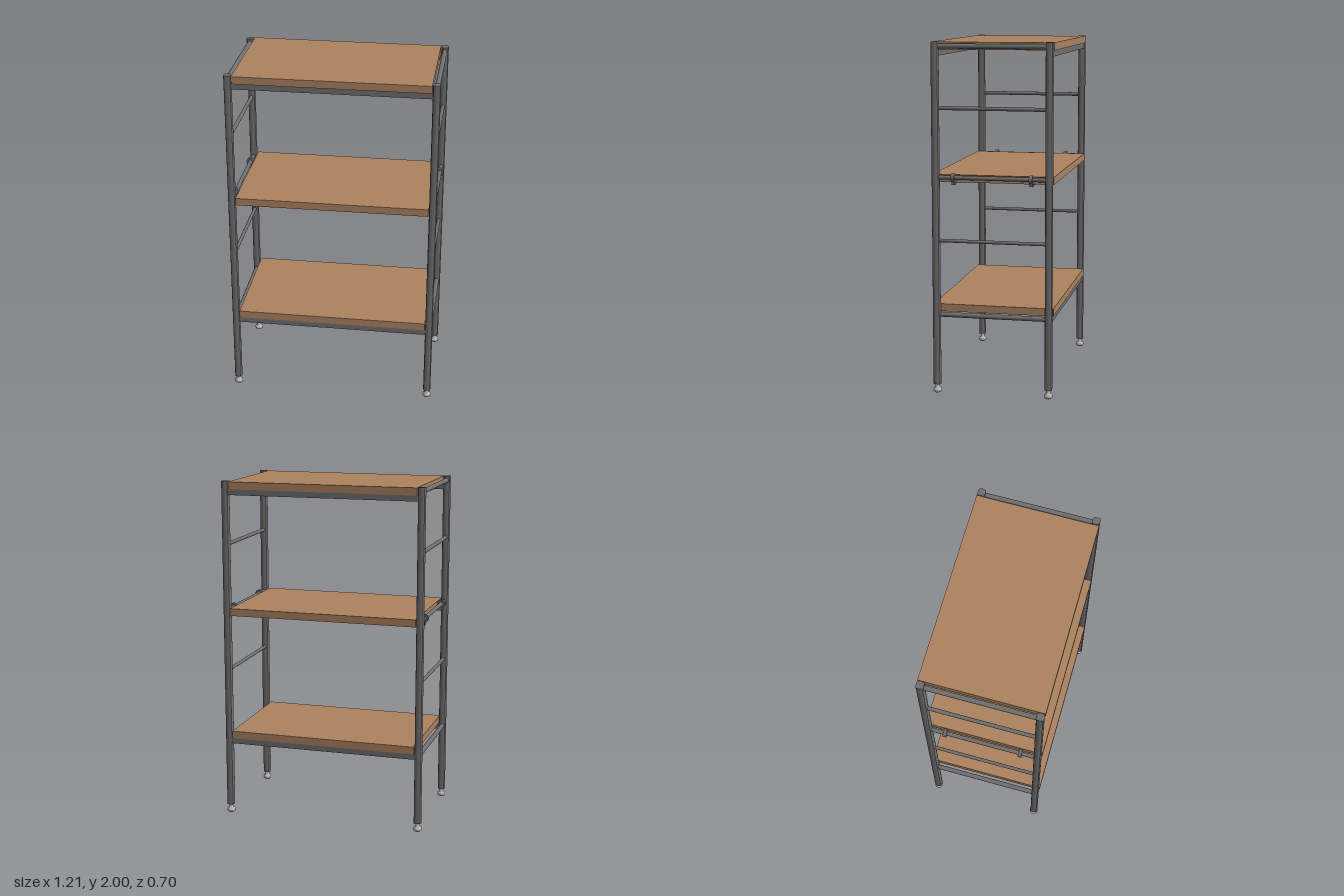
import * as THREE from 'three';

export function createModel() {
  const model = new THREE.Group();
  model.name = 'shelvingUnit';

  const steel = new THREE.MeshStandardMaterial({ name: 'greySteel', color: 0x707070 });
  const wood = new THREE.MeshStandardMaterial({ name: 'brownWood', color: 0xad8361 });
  const metal = new THREE.MeshStandardMaterial({ name: 'paleMetal', color: 0xb8b8b6 });

  const PX = 0.579, PZ = 0.323; // post centres
  const add = (name, geometry, material, x, y, z) => {
    const mesh = new THREE.Mesh(geometry, material);
    mesh.name = name;
    mesh.position.set(x, y, z);
    model.add(mesh);
    return mesh;
  };
  const zRod = (r, length) => new THREE.CylinderGeometry(r, r, length, 20).rotateX(Math.PI / 2);

  // Post section: a square with gently bulging sides
  const c = 0.018, b = 0.0255;
  const section = new THREE.Shape();
  section.moveTo(-c, -c);
  section.quadraticCurveTo(0, -b, c, -c);
  section.quadraticCurveTo(b, 0, c, c);
  section.quadraticCurveTo(0, b, -c, c);
  section.quadraticCurveTo(-b, 0, -c, -c);
  const postGeometry = new THREE.ExtrudeGeometry(section, { depth: 1.95, bevelEnabled: false, curveSegments: 6 });
  postGeometry.rotateX(-Math.PI / 2);

  // Levelling foot: rounded pad below a narrow stem
  const footGeometry = new THREE.LatheGeometry([
    [0, 0.004], [0.016, 0.004], [0.023, 0.011], [0.025, 0.019], [0.022, 0.028], [0.012, 0.034], [0.012, 0.052],
  ].map(([x, y]) => new THREE.Vector2(x, y - 0.004)), 24);

  for (const sx of [-1, 1]) {
    for (const sz of [-1, 1]) {
      add('post', postGeometry, steel, sx * PX, 0.05, sz * PZ);
      add('foot', footGeometry, metal, sx * PX, 0, sz * PZ);
    }
  }

  // Ladder rungs on both ends: [height, radius]
  const rungs = [[0.458, 0.014], [0.885, 0.010], [1.245, 0.012], [1.633, 0.011], [1.975, 0.014]];
  for (const [y, r] of rungs) {
    const geometry = zRod(r, 2 * PZ - 0.036);
    for (const sx of [-1, 1]) add('sideRung', geometry, steel, sx * PX, y, 0);
  }

  // Shelves, by the height of their underside
  const shelfGeometry = new THREE.BoxGeometry(1.11, 0.043, 0.69);
  for (const y of [0.471, 1.216, 1.955]) add('shelf', shelfGeometry, wood, 0, y + 0.0215, 0);

  // Long rails under the bottom and top shelves
  const railGeometry = new THREE.BoxGeometry(2 * PX - 0.036, 0.033, 0.03);
  for (const y of [0.453, 1.938]) {
    for (const sz of [-1, 1]) add('longRail', railGeometry, steel, 0, y, sz * PZ);
  }

  // Removable carriers of the middle shelf, hooked over the end rungs
  const carrierGeometry = new THREE.CylinderGeometry(0.008, 0.008, 1.14, 16).rotateZ(Math.PI / 2);
  const hookShape = new THREE.Shape();
  hookShape.absarc(0, 0, 0.024, 0, Math.PI * 2);
  const hookHole = new THREE.Path();
  hookHole.absarc(0, 0, 0.012, 0, Math.PI * 2);
  hookShape.holes.push(hookHole);
  const hookGeometry = new THREE.ExtrudeGeometry(hookShape, { depth: 0.02, bevelEnabled: false, curveSegments: 12 });
  hookGeometry.translate(0, 0, -0.01);
  const tailGeometry = new THREE.BoxGeometry(0.03, 0.03, 0.02);
  for (const sz of [-1, 1]) {
    add('carrierRod', carrierGeometry, steel, 0, 1.213, sz * 0.222);
    for (const sx of [-1, 1]) {
      add('carrierHook', hookGeometry, steel, sx * PX, 1.245, sz * 0.222);
      add('hookTail', tailGeometry, steel, sx * (PX - 0.01), 1.22, sz * 0.222);
    }
  }
  return model;
}
